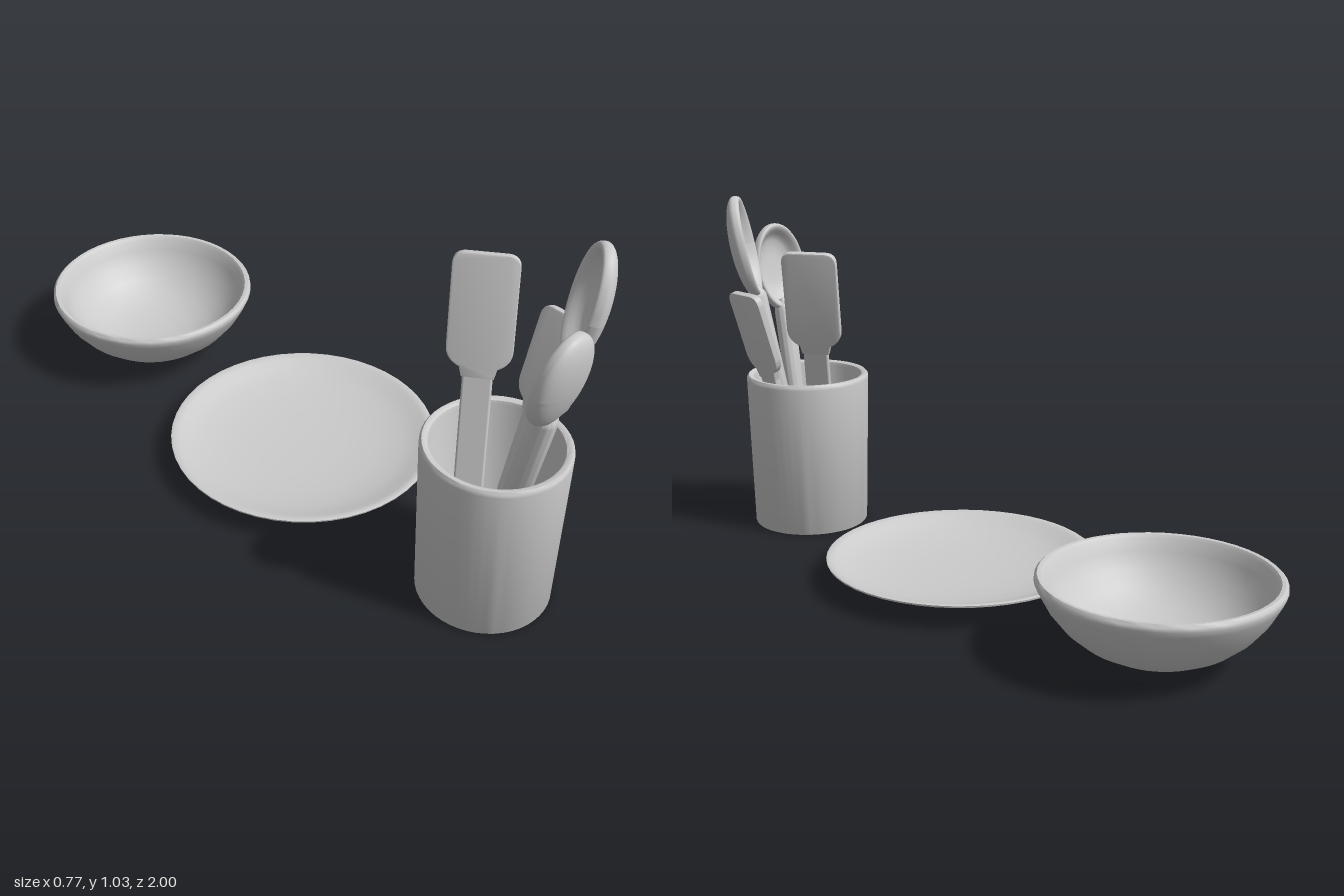
import * as THREE from 'three';
import { toCreasedNormals } from 'three/addons/utils/BufferGeometryUtils.js';
import { RoundedBoxGeometry } from 'three/addons/geometries/RoundedBoxGeometry.js';

const grey = new THREE.MeshStandardMaterial({ color: 0xcccccc });

function mesh(name, geometry) {
  const m = new THREE.Mesh(geometry, grey);
  m.name = name;
  return m;
}

// Turned vessel: profile runs from the bottom centre, up the outside and down the inside
function turned(name, profile, z) {
  const points = profile.map(([r, y]) => new THREE.Vector2(r, y));
  const m = mesh(name, toCreasedNormals(new THREE.LatheGeometry(points, 48), 0.7));
  m.position.z = z;
  return m;
}

// Stands a utensil on its base point, leaning to its top point; yaw turns its face
function lean(group, base, top, yaw) {
  const y = top.clone().sub(base).normalize();
  const x = new THREE.Vector3(Math.cos(yaw), 0, -Math.sin(yaw));
  x.addScaledVector(y, -x.dot(y)).normalize();
  const z = new THREE.Vector3().crossVectors(x, y);
  group.setRotationFromMatrix(new THREE.Matrix4().makeBasis(x, y, z));
  group.position.copy(base);
  return group;
}

// Spoon head: a flattened ball, domed in front and hollowed behind
function spoonHead(width, length) {
  const g = new THREE.SphereGeometry(1, 40, 32);
  g.rotateX(Math.PI / 2);
  const p = g.attributes.position;
  for (let i = 0; i < p.count; i++) {
    const nz = p.getZ(i), t = Math.abs(nz);
    const hollow = -0.018 * Math.sin(Math.PI * Math.min(1, t / 0.7))
      + 0.028 * THREE.MathUtils.smoothstep(t, 0.45, 1);
    p.setXYZ(i, p.getX(i) * width, p.getY(i) * length, nz > 0 ? 0.042 * nz : hollow);
  }
  g.computeVertexNormals();
  return g;
}

function spoon(name, base, centre, yaw, width, length) {
  const group = new THREE.Group();
  group.name = name;
  const d = base.distanceTo(centre);
  const head = mesh('spoonHead', spoonHead(width, length));
  head.position.y = d;
  // Round handle with a softened end at the head
  const end = d - length + 0.015;
  const profile = [[0, 0], [0.024, 0], [0.027, 0.005], [0.031, end - 0.015],
    [0.029, end - 0.004], [0.022, end + 0.006], [0.015, end + 0.02], [0, end + 0.025]];
  group.add(head, turned('spoonHandle', profile, 0));
  return lean(group, base, centre, yaw);
}

function spatula(name, base, top, yaw, w, bladeStart) {
  const group = new THREE.Group();
  group.name = name;
  const L = base.distanceTo(top), hw = 0.038, r = 0.03, bevel = 0.004;
  const e = w - bevel, tip = L - bevel;
  // Blade with round corners and shoulders running into the handle
  const s = new THREE.Shape();
  s.moveTo(-hw, bladeStart - 0.04);
  s.lineTo(hw, bladeStart - 0.04);
  s.lineTo(hw + 0.006, bladeStart - 0.015);
  s.quadraticCurveTo(e, bladeStart, e, bladeStart + 0.035);
  s.lineTo(e, tip - r);
  s.quadraticCurveTo(e, tip, e - r, tip);
  s.lineTo(r - e, tip);
  s.quadraticCurveTo(-e, tip, -e, tip - r);
  s.lineTo(-e, bladeStart + 0.035);
  s.quadraticCurveTo(-e, bladeStart, -hw - 0.006, bladeStart - 0.015);
  s.closePath();
  const blade = new THREE.ExtrudeGeometry(s, {
    depth: 0.014, bevelEnabled: true, bevelSize: bevel, bevelThickness: bevel,
    bevelSegments: 2, curveSegments: 8,
  });
  blade.translate(0, 0, -0.007);
  group.add(mesh('spatulaBlade', toCreasedNormals(blade, 0.6)));
  // Flat handle
  const handle = mesh('spatulaHandle', new RoundedBoxGeometry(hw * 2, bladeStart, 0.02, 3, 0.006));
  handle.position.y = bladeStart / 2 - 0.005;
  group.add(handle);
  return lean(group, base, top, yaw);
}

export function createModel() {
  const v = (x, y, z) => new THREE.Vector3(x, y, z);
  const model = new THREE.Group();
  model.name = 'kitchenware';

  model.add(turned('utensilCup', [
    [0, 0], [0.176, 0], [0.178, 0.004], [0.19, 0.465], [0.189, 0.474], [0.184, 0.48],
    [0.176, 0.48], [0.169, 0.476], [0.166, 0.466], [0.156, 0.04], [0.15, 0.03], [0, 0.03],
  ], 0.76));

  model.add(turned('plate', [
    [0, 0.01], [0.13, 0.01], [0.18, 0.015], [0.25, 0.027], [0.32, 0.044], [0.37, 0.06],
    [0.383, 0.066], [0.384, 0.071], [0.378, 0.073], [0.36, 0.068], [0.335, 0.056],
    [0.29, 0.043], [0.22, 0.032], [0.13, 0.026], [0, 0.025],
  ], 0.045));

  model.add(turned('bowl', [
    [0, 0.02], [0.115, 0.02], [0.15, 0.03], [0.2, 0.057], [0.245, 0.095], [0.28, 0.139],
    [0.305, 0.185], [0.313, 0.203], [0.312, 0.213], [0.305, 0.22], [0.295, 0.219],
    [0.287, 0.21], [0.275, 0.178], [0.25, 0.137], [0.215, 0.099], [0.17, 0.068],
    [0.11, 0.048], [0.05, 0.041], [0, 0.04],
  ], -0.686));

  model.add(
    spoon('frontSpoon', v(0, 0.04, 0.77), v(-0.033, 0.79, 0.945), 0.08, 0.095, 0.139),
    spoon('tallSpoon', v(0.03, 0.04, 0.74), v(0.145, 0.88, 0.865), 0.85, 0.1, 0.157),
    spatula('tallSpatula', v(-0.03, 0.04, 0.71), v(0.116, 0.89, 0.58), -0.92, 0.083, 0.59),
    spatula('shortSpatula', v(0.01, 0.04, 0.755), v(0.223, 0.757, 0.765), Math.PI / 2, 0.077, 0.51),
  );
  return model;
}
